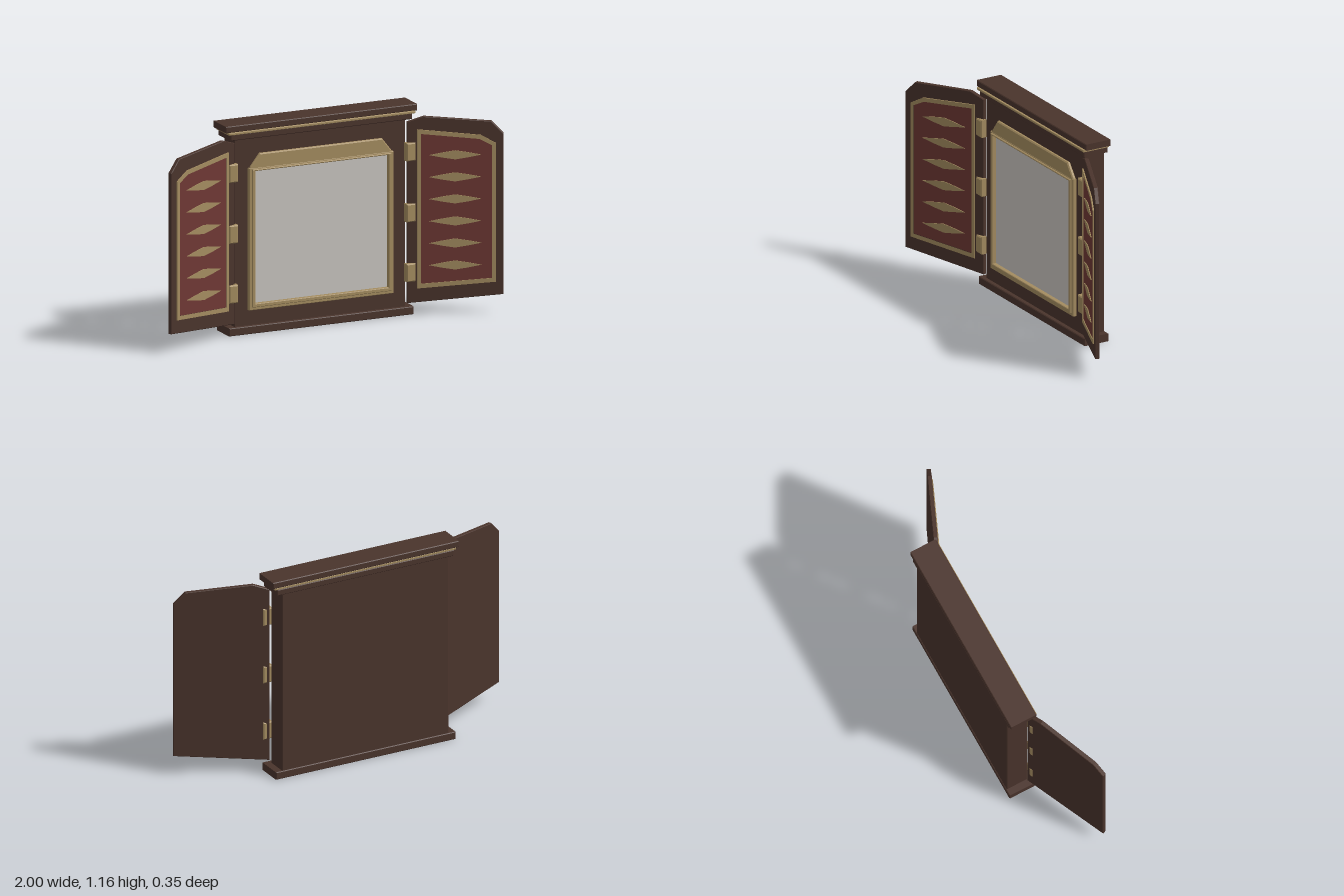
import * as THREE from 'three';

const mat = (name, color) => {
  const m = new THREE.MeshStandardMaterial({ color });
  m.name = name;
  return m;
};

export function createModel() {
  const wood = mat('dark wood', 0x4a342c);
  const gold = mat('antique gold', 0xa48c60);
  const red = mat('red panel', 0x6e3834);
  const pane = mat('pale pane', 0xc9c5c0);
  const root = new THREE.Group();
  root.name = 'shutteredCabinet';

  const add = (parent, name, geo, material) => {
    const m = new THREE.Mesh(geo, material);
    m.name = name;
    parent.add(m);
    return m;
  };
  const polygon = pts => new THREE.Shape(pts.map(p => new THREE.Vector2(p[0], p[1])));

  // Prism from z0 to z1 with a small chamfer on both faces, outline kept at full size
  const prism = (shape, z0, z1, bevel = 0) => {
    const g = new THREE.ExtrudeGeometry(shape, {
      depth: z1 - z0 - 2 * bevel, bevelEnabled: bevel > 0, bevelSize: bevel,
      bevelThickness: bevel, bevelOffset: -bevel, bevelSegments: 1, curveSegments: 1,
    });
    g.translate(0, 0, z0 + bevel);
    return g;
  };
  const rect = (x0, x1, y0, y1) => [[x0, y0], [x1, y0], [x1, y1], [x0, y1]];
  const block = (parent, name, x0, x1, y0, y1, z0, z1, material, bevel = 0.004) =>
    add(parent, name, prism(polygon(rect(x0, x1, y0, y1)), z0, z1, bevel), material);
  const ring = (outer, inner, z0, z1, bevel) => {
    const s = polygon(outer);
    s.holes.push(polygon(inner));
    return prism(s, z0, z1, bevel);
  };

  // Cabinet body, plinth and cornice
  block(root, 'body', -0.51, 0.51, 0.03, 1.09, -0.17, -0.045, wood);
  block(root, 'plinth', -0.55, 0.55, 0, 0.044, -0.175, -0.02, wood);
  block(root, 'corniceLower', -0.542, 0.542, 1.083, 1.118, -0.175, -0.022, wood);
  block(root, 'corniceTrim', -0.555, 0.555, 1.117, 1.13, -0.174, -0.011, gold, 0.002);
  block(root, 'corniceTop', -0.57, 0.57, 1.129, 1.165, -0.177, -0.02, wood);

  // Stepped window surround, its chamfered head and the pane
  const opening = rect(-0.397, 0.397, 0.167, 0.903);
  add(root, 'windowFrameOuter',
    ring(rect(-0.43, 0.43, 0.13, 0.918), opening, -0.046, -0.022, 0.003), gold);
  add(root, 'windowFrameInner',
    ring(rect(-0.415, 0.415, 0.147, 0.912), opening, -0.046, -0.012, 0.003), gold);
  add(root, 'windowHead',
    prism(polygon([[-0.43, 0.905], [0.43, 0.905], [0.42, 0.925], [0.365, 0.995],
      [-0.365, 0.995], [-0.42, 0.925]]), -0.046, -0.024, 0.006), gold);
  block(root, 'pane', -0.4, 0.4, 0.164, 0.906, -0.046, -0.037, pane, 0);

  // Open shutters, built outward from the hinge line
  for (const s of [1, -1]) {
    const side = s > 0 ? 'left' : 'right';
    const flip = pts => pts.map(([x, y]) => [s * x, y]);
    const door = new THREE.Group();
    door.name = side + 'Door';
    door.position.set(s * 0.522, 0, -0.052);
    door.rotation.y = -s * 0.407;
    root.add(door);

    add(door, side + 'DoorPanel', prism(polygon(flip([[0, 0.063], [0.52, 0.108], [0.52, 1.0],
      [0.455, 1.068], [0.09, 1.098], [0, 1.068]])), 0, 0.024, 0.003), wood);

    // Coloured inset with its border
    const inner = flip([[0.077, 0.172], [0.458, 0.2], [0.458, 0.937],
      [0.39, 0.972], [0.077, 1.003]]);
    const outer = flip([[0.056, 0.146], [0.479, 0.179], [0.479, 0.948],
      [0.397, 0.994], [0.056, 1.028]]);
    add(door, side + 'DoorInset', prism(polygon(inner), 0.022, 0.027), red);
    add(door, side + 'DoorBorder', ring(outer, inner, 0.022, 0.031, 0), gold);

    // Column of pointed ornaments
    for (let i = 0; i < 6; i++) {
      const y = 0.274 + i * 0.1222;
      const c = 0.26;
      add(door, side + 'DoorOrnament', prism(polygon(flip([[c - 0.14, y], [c - 0.07, y - 0.014],
        [c, y - 0.025], [c + 0.07, y - 0.014], [c + 0.14, y], [c + 0.07, y + 0.014],
        [c, y + 0.025], [c - 0.07, y + 0.014]])), 0.026, 0.031), gold);
    }

    // Hinge plates bridging body and shutter
    for (const y of [0.235, 0.567, 0.905]) {
      const x = [s * 0.502, s * 0.556].sort((a, b) => a - b);
      block(root, side + 'Hinge', x[0], x[1], y - 0.05, y + 0.05, -0.046, -0.006, gold, 0.006);
    }
  }
  return root;
}
